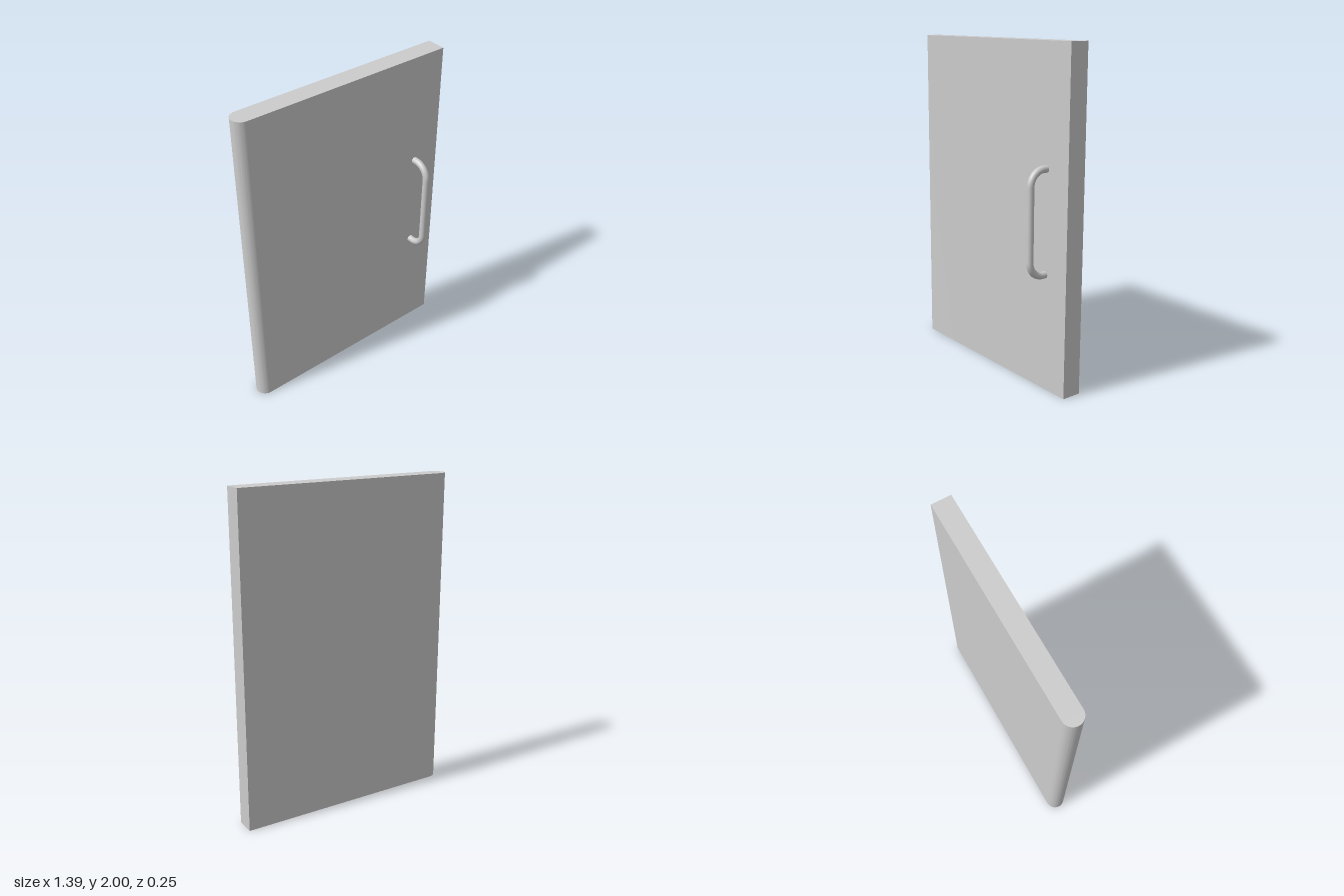
import * as THREE from 'three';
import { toCreasedNormals } from 'three/addons/utils/BufferGeometryUtils.js';

const material = new THREE.MeshStandardMaterial({ color: 0xcccccc });

// Door slab: plan outline with one half-round edge, extruded upwards
function createPanel() {
  const halfWidth = 0.695, front = -0.007, back = -0.127;
  const radius = (front - back) / 2;
  const plan = new THREE.Shape();
  plan.moveTo(halfWidth, -front);
  plan.lineTo(halfWidth, -back);
  plan.lineTo(-halfWidth + radius, -back);
  plan.absarc(-halfWidth + radius, -(front + back) / 2, radius, Math.PI / 2, Math.PI * 1.5, false);
  plan.closePath();
  const slab = new THREE.ExtrudeGeometry(plan, { depth: 2, bevelEnabled: false, curveSegments: 24 });
  slab.rotateX(-Math.PI / 2);
  const panel = new THREE.Mesh(toCreasedNormals(slab, Math.PI / 6), material);
  panel.name = 'doorPanel';
  return panel;
}

// Pull handle: round bar with two quarter-circle bends
function createHandle() {
  const x = 0.518, low = 0.698, high = 1.307, root = -0.02, reach = 0.106, bend = 0.09, bar = 0.021;
  const point = (y, z) => new THREE.Vector3(x, y, z);
  const k = bend * 0.4477; // control point offset for a circular bend
  const path = new THREE.CurvePath();
  path.add(new THREE.LineCurve3(point(low, root), point(low, reach - bend)));
  path.add(new THREE.CubicBezierCurve3(
    point(low, reach - bend), point(low, reach - k), point(low + k, reach), point(low + bend, reach)));
  path.add(new THREE.LineCurve3(point(low + bend, reach), point(high - bend, reach)));
  path.add(new THREE.CubicBezierCurve3(
    point(high - bend, reach), point(high - k, reach), point(high, reach - k), point(high, reach - bend)));
  path.add(new THREE.LineCurve3(point(high, reach - bend), point(high, root)));
  const handle = new THREE.Mesh(new THREE.TubeGeometry(path, 120, bar, 24), material);
  handle.name = 'pullHandle';
  return handle;
}

export function createModel() {
  const door = new THREE.Group();
  door.name = 'door';
  door.add(createPanel(), createHandle());
  return door;
}
